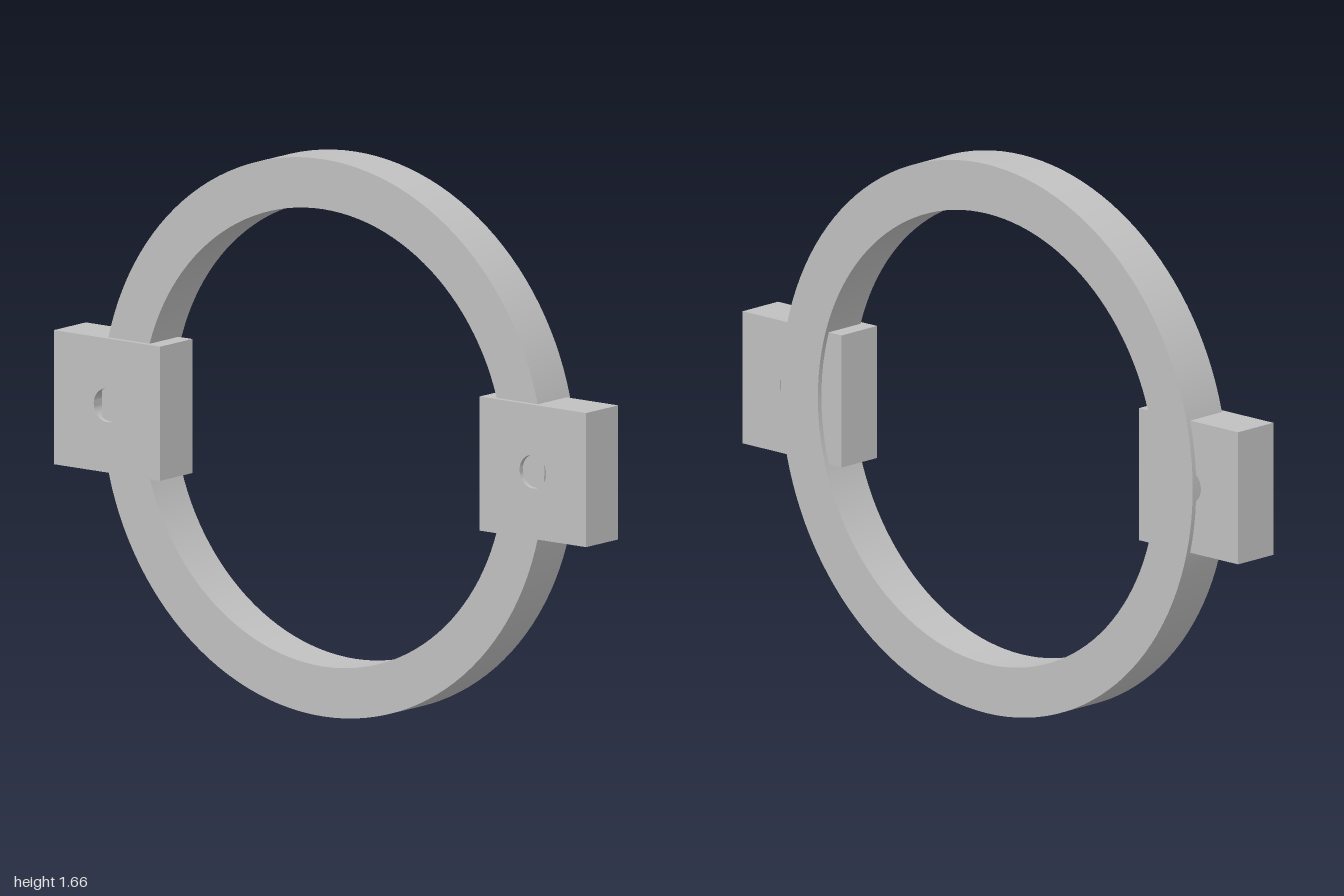
import * as THREE from 'three';
import { toCreasedNormals } from 'three/addons/utils/BufferGeometryUtils.js';

const CENTER_Y = 0.831;
const DEPTH = 0.15;

// Adds a round hole to a shape.
function addHole(shape, radius) {
  const hole = new THREE.Path();
  hole.absarc(0, 0, radius, 0, Math.PI * 2, true);
  shape.holes.push(hole);
  return shape;
}

// Extrudes a shape along +x, with smooth curves and sharp rims.
function extrudeAlongX(shape, curveSegments) {
  const geometry = new THREE.ExtrudeGeometry(shape, { depth: DEPTH, bevelEnabled: false, curveSegments });
  geometry.rotateY(Math.PI / 2);
  return toCreasedNormals(geometry, Math.PI / 6);
}

export function createModel() {
  const model = new THREE.Group();
  model.name = 'ringWithLugs';
  const grey = new THREE.MeshStandardMaterial({ color: 0xc0c0c0 });
  grey.name = 'lightGrey';

  // Flat upright ring
  const ringShape = new THREE.Shape();
  ringShape.absarc(0, 0, 0.831, 0, Math.PI * 2, false);
  addHole(ringShape, 0.682);
  const ring = new THREE.Mesh(extrudeAlongX(ringShape, 64), grey);
  ring.name = 'ring';
  ring.position.set(-0.0675, CENTER_Y, 0);
  model.add(ring);

  // Square lugs with a bolt hole, offset sideways from the ring
  const h = 0.2;
  const lugShape = addHole(new THREE.Shape([
    new THREE.Vector2(-h, -h), new THREE.Vector2(h, -h),
    new THREE.Vector2(h, h), new THREE.Vector2(-h, h),
  ]), 0.05);
  const lugGeometry = extrudeAlongX(lugShape, 16);
  for (const [name, z] of [['frontLug', 0.8], ['backLug', -0.8]]) {
    const lug = new THREE.Mesh(lugGeometry, grey);
    lug.name = name;
    lug.position.set(-0.0825, CENTER_Y, z);
    model.add(lug);
  }
  return model;
}
